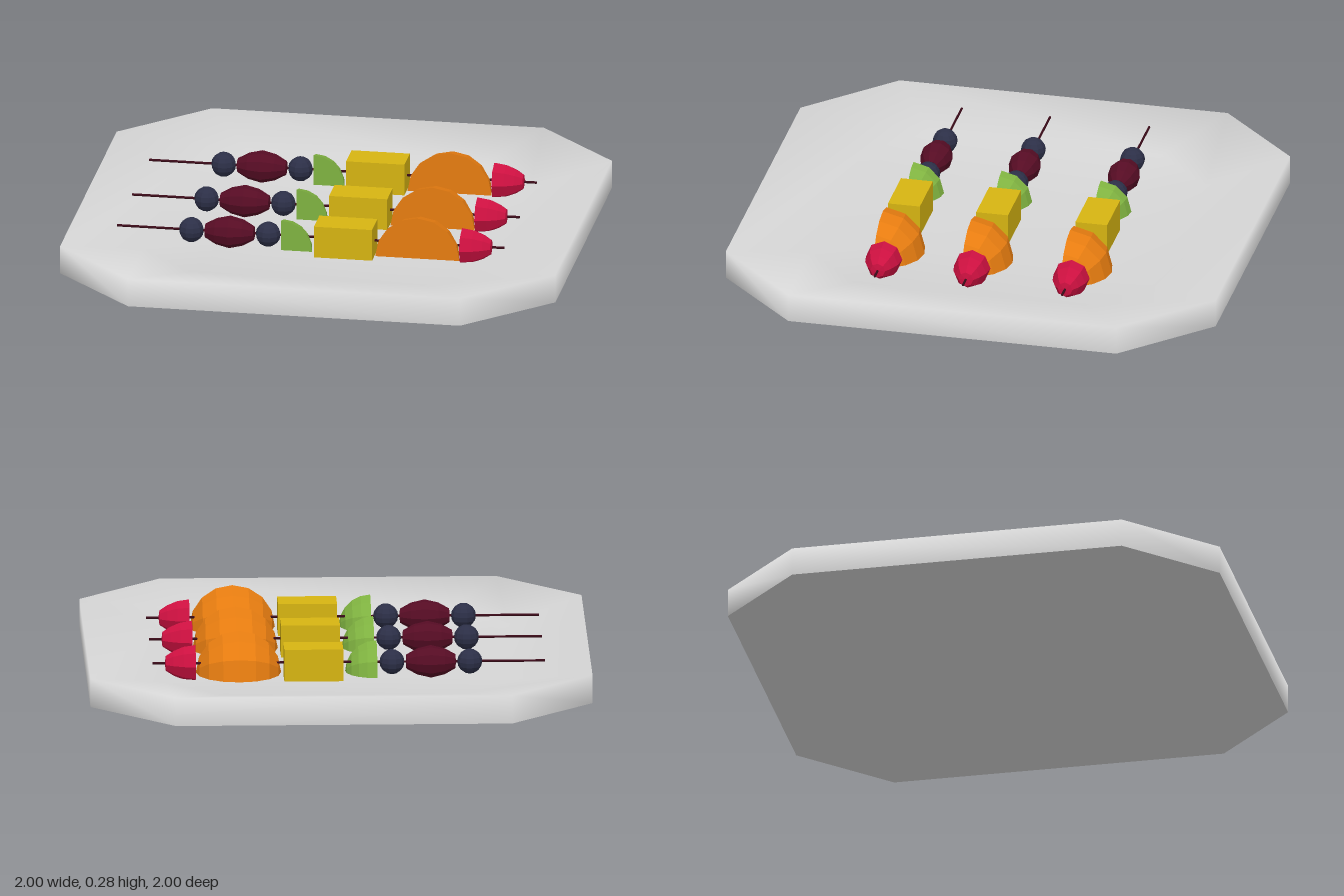
import * as THREE from 'three';
import { mergeGeometries } from 'three/addons/utils/BufferGeometryUtils.js';

const PI = Math.PI;

function mat(name, color, flat = true) {
  const m = new THREE.MeshStandardMaterial({ color, flatShading: flat });
  m.name = name;
  return m;
}

// Octagonal surface through scaled rings, listed as [scale, height]
function octagonRings(profile) {
  const c = 0.67;
  const corners = [[1, -c], [1, c], [c, 1], [-c, 1], [-1, c], [-1, -c], [-c, -1], [c, -1]];
  const pos = [], idx = [];
  profile.forEach(([s, y], i) => {
    corners.forEach(([x, z], j) => {
      pos.push(x * s, y, z * s);
      if (i === profile.length - 1) return;
      const k = (j + 1) % 8;
      const a = i * 8 + j, b = i * 8 + k, d = a + 8, e = b + 8;
      if (s > 0) idx.push(a, b, d);
      if (profile[i + 1][0] > 0) idx.push(b, e, d);
    });
  });
  const g = new THREE.BufferGeometry();
  g.setAttribute('position', new THREE.Float32BufferAttribute(pos, 3));
  g.setIndex(idx);
  g.computeVertexNormals();
  return g;
}

// Quarter of a ball (or an eighth), flat towards the front and below
function fruitWedge(r, segments, half) {
  const arc = half ? PI / 2 : PI;
  const parts = [
    new THREE.SphereGeometry(r, 2, segments, 1.5 * PI, PI / 2, 0, arc).rotateZ(-PI / 2),
    new THREE.CircleGeometry(r, segments, 0, arc),
    new THREE.CircleGeometry(r, segments, 2 * PI - arc, arc).rotateX(PI / 2),
  ];
  if (half) parts.push(new THREE.CircleGeometry(r, 2, PI / 2, PI / 2).rotateY(-PI / 2));
  return mergeGeometries(parts);
}

// Turned shape along x, from [radius, x] points
function turned(points, sides) {
  const pts = points.map(([r, x]) => new THREE.Vector2(r, x));
  return new THREE.LatheGeometry(pts, sides).rotateZ(-PI / 2);
}

export function createModel() {
  const model = new THREE.Group();
  const plateGrey = mat('plate grey', 0xd6d6d6, false);
  const stickBrown = mat('stick dark red', 0x3a0a18);
  const blue = mat('blueberry blue', 0x2c2f47);
  const purple = mat('grape purple', 0x560c24);
  const green = mat('kiwi green', 0x7fb240);
  const yellow = mat('pineapple yellow', 0xd6b412);
  const orange = mat('orange', 0xe67c10);
  const red = mat('strawberry red', 0xcc1040);

  const add = (parent, name, geometry, material, x = 0, y = 0, z = 0) => {
    const m = new THREE.Mesh(geometry, material);
    m.name = name;
    m.position.set(x, y, z);
    parent.add(m);
  };

  // Shallow dished plate
  const plate = new THREE.Group();
  plate.name = 'plate';
  add(plate, 'plateTopAndRim', octagonRings(
    [[0, 0.088], [0.35, 0.09], [0.7, 0.105], [1, 0.17], [1, 0.055]]), plateGrey);
  add(plate, 'plateUnderside', octagonRings([[1, 0.055], [0.35, 0.004], [0, 0]]), plateGrey);
  model.add(plate);

  // Shared fruit shapes
  const stick = new THREE.CylinderGeometry(0.005, 0.005, 1.565, 6).rotateZ(PI / 2);
  const berry = new THREE.SphereGeometry(0.05, 10, 8);
  const grape = turned([[0, -0.1], [0.028, -0.098], [0.052, -0.055], [0.065, 0],
    [0.052, 0.055], [0.028, 0.098], [0, 0.1]], 10);
  const kiwi = fruitWedge(0.125, 5, true);
  const pineapple = new THREE.BoxGeometry(0.235, 0.13, 0.13);
  const orangeWedge = fruitWedge(0.17, 8, false);
  const strawberry = turned([[0, 0], [0.074, 0], [0.067, 0.048], [0.05, 0.088],
    [0.03, 0.118], [0, 0.122]], 8);

  // Three identical skewers
  [-0.39, 0.015, 0.375].forEach((z, i) => {
    const s = new THREE.Group();
    s.name = 'skewer' + (i + 1);
    s.position.set(0, 0.163, z);
    add(s, 'stick', stick, stickBrown, -0.038);
    add(s, 'outerBlueberry', berry, blue, -0.52);
    add(s, 'grape', grape, purple, -0.365);
    add(s, 'innerBlueberry', berry, blue, -0.21);
    add(s, 'kiwiSlice', kiwi, green, -0.15, -0.048, 0.045);
    add(s, 'pineappleChunk', pineapple, yellow, 0.103, 0.002);
    add(s, 'orangeWedge', orangeWedge, orange, 0.4, -0.05, 0.045);
    add(s, 'strawberry', strawberry, red, 0.573);
    model.add(s);
  });

  return model;
}
